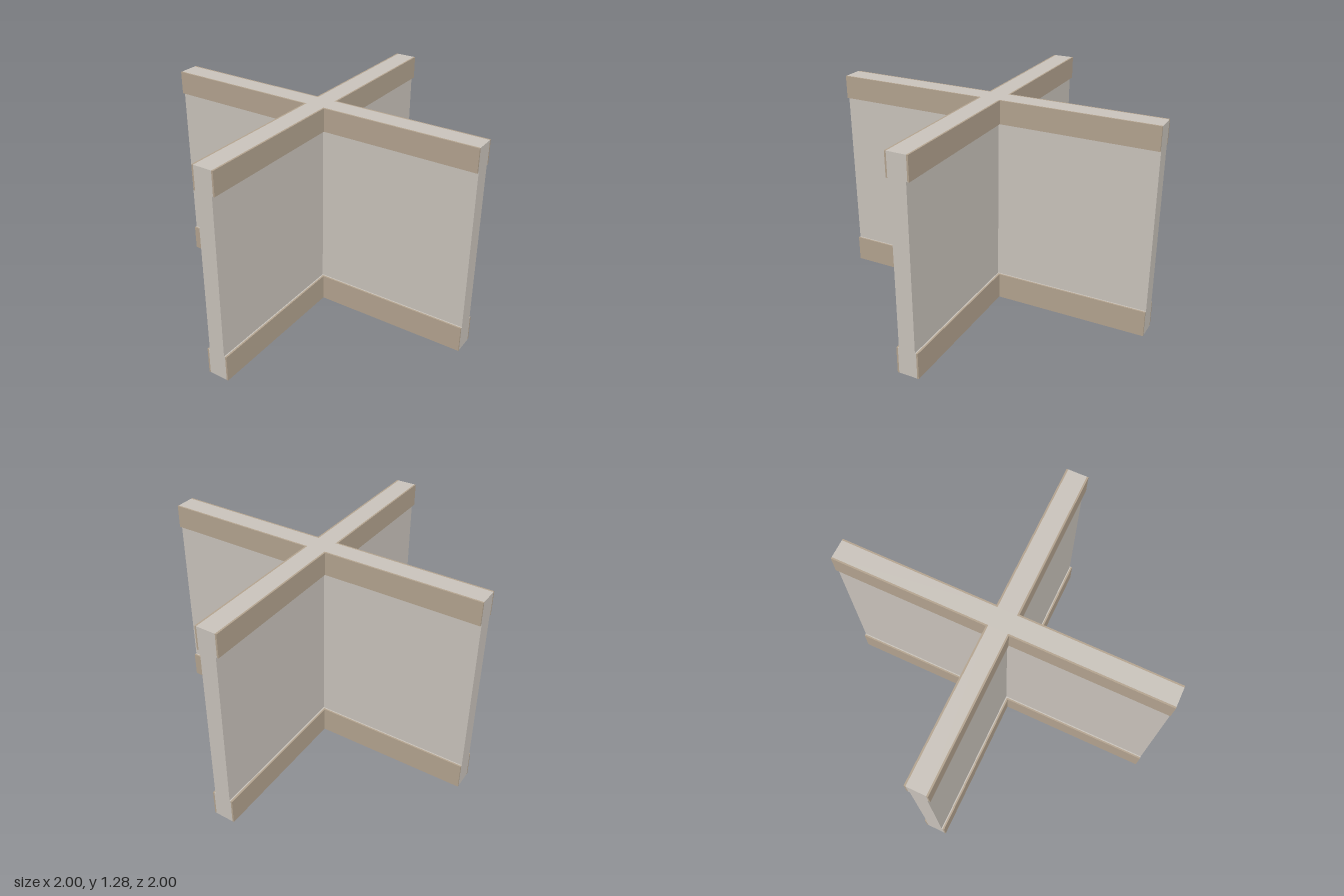
import * as THREE from 'three';

const WALL = 0.05, CORE = 0.057, TRIM = 0.067; // half thicknesses
const HEIGHT = 1.28, BASE_TOP = 0.16, CORNICE_BOTTOM = 1.14;

// Extrude a plan outline upward from y0 to y1
function prism(points, y0, y1, material, name) {
  const shape = new THREE.Shape(points.map(([x, y]) => new THREE.Vector2(x, y)));
  const geometry = new THREE.ExtrudeGeometry(shape, { depth: y1 - y0, bevelEnabled: false });
  geometry.rotateX(-Math.PI / 2);
  geometry.translate(0, y0, 0);
  const mesh = new THREE.Mesh(geometry, material);
  mesh.name = name;
  return mesh;
}

// Plus-shaped plan with arms of half thickness t
const cross = (t) => [
  [1, -t], [1, t], [t, t], [t, 1], [-t, 1], [-t, t],
  [-1, t], [-1, -t], [-t, -t], [-t, -1], [t, -1], [t, -t],
];

// L-shaped plan lining one inner corner
const corner = [[CORE, CORE], [1, CORE], [1, TRIM], [TRIM, TRIM], [TRIM, 1], [CORE, 1]];

export function createModel() {
  const plaster = new THREE.MeshStandardMaterial({ color: 0xc9c3bb });
  plaster.name = 'plaster grey';
  const wood = new THREE.MeshStandardMaterial({ color: 0xb3a38f });
  wood.name = 'trim tan';

  const model = new THREE.Group();
  model.name = 'crossWall';
  model.add(prism(cross(WALL), BASE_TOP, CORNICE_BOTTOM, plaster, 'wall'));

  // Thicker bands at floor and ceiling, faced with tan trim in each corner
  for (const [name, y0, y1] of [['baseboard', 0, BASE_TOP], ['cornice', CORNICE_BOTTOM, HEIGHT]]) {
    const band = new THREE.Group();
    band.name = name;
    band.add(prism(cross(CORE), y0, y1, plaster, name + 'Core'));
    for (let i = 0; i < 4; i++) {
      const trim = prism(corner, y0, y1, wood, name + 'Trim');
      trim.rotation.y = (i * Math.PI) / 2;
      band.add(trim);
    }
    model.add(band);
  }
  return model;
}
